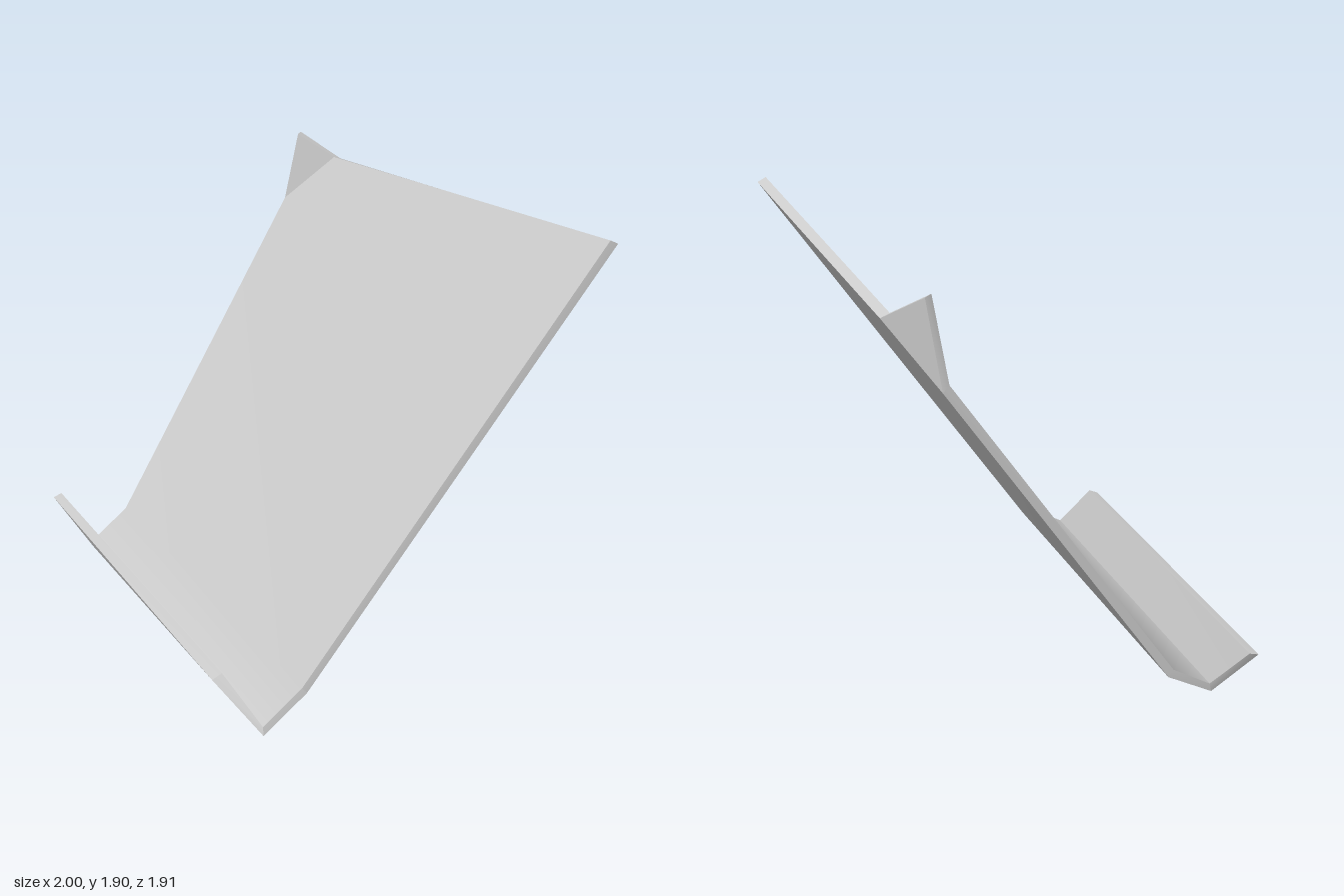
import * as THREE from 'three';

// Corners of the bent sheet: [underside point, upper-side point]
const P = {
  lipFront: [[-0.53, 0.343, 0.84], [-0.49, 0.36, 0.83]],
  foldFront: [[-0.36, 0.115, 0.955], [-0.36, 0.155, 0.945]],
  bendFront: [[-0.17, 0.225, 0.88], [-0.19, 0.255, 0.88]],
  topFront: [[1.0, 1.885, 0.638], [0.965, 1.905, 0.645]],
  tabFront: [[0.418, 1.65, -0.842], [0.385, 1.665, -0.83]],
  tabTip: [[0.266, 1.745, -0.953], [0.245, 1.75, -0.92]],
  tabBack: [[0.212, 1.42, -0.95], [0.19, 1.445, -0.94]],
  bendBack: [[-0.66, 0.11, -0.545], [-0.68, 0.14, -0.54]],
  foldBack: [[-0.85, 0, -0.47], [-0.84, 0.04, -0.48]],
  lipBack: [[-1.0, 0.228, -0.59], [-0.963, 0.238, -0.6]],
};

// Builds one thick plate: faces share normals within each side, rim walls stay sharp
function plate(name, polygons, rim, material) {
  const pos = [], idx = [];
  const add = (p) => pos.push(...p) / 3 - 1;
  for (const side of [0, 1]) {
    const shared = {};
    const at = (k) => (shared[k] ??= add(P[k][side]));
    for (const poly of polygons) {
      for (let i = 1; i < poly.length - 1; i++) {
        const [a, b, c] = [at(poly[0]), at(poly[i]), at(poly[i + 1])];
        idx.push(...(side ? [a, b, c] : [a, c, b]));
      }
    }
  }
  for (let i = 0; i < rim.length - 1; i++) {
    const [p, q] = [P[rim[i]], P[rim[i + 1]]];
    const [a, b, c, d] = [p[0], q[0], q[1], p[1]].map(add);
    idx.push(a, b, c, a, c, d);
  }
  const g = new THREE.BufferGeometry();
  g.setAttribute('position', new THREE.Float32BufferAttribute(pos, 3));
  g.setIndex(idx);
  g.computeVertexNormals();
  const mesh = new THREE.Mesh(g, material);
  mesh.name = name;
  return mesh;
}

export function createModel() {
  const metal = new THREE.MeshStandardMaterial({ color: 0xcccccc });
  metal.name = 'light grey';
  const group = new THREE.Group();
  group.name = 'bentSheet';
  group.add(
    // Large sloping panel with the shallow bend near its foot
    plate('slopingPanel', [
      ['foldFront', 'bendFront', 'bendBack', 'foldBack'],
      ['bendFront', 'topFront', 'tabFront', 'tabBack', 'bendBack'],
    ], ['foldFront', 'bendFront', 'topFront', 'tabFront'], metal),
    // Upturned lip along the lower edge
    plate('lowerLip', [['lipFront', 'foldFront', 'foldBack', 'lipBack']],
      ['foldBack', 'lipBack', 'lipFront', 'foldFront'], metal),
    // Small folded corner
    plate('cornerTab', [['tabBack', 'tabFront', 'tabTip']],
      ['tabFront', 'tabTip', 'tabBack'], metal),
    // Back edge between the tab and the lip
    plate('backEdge', [], ['tabBack', 'bendBack', 'foldBack'], metal),
  );
  return group;
}
